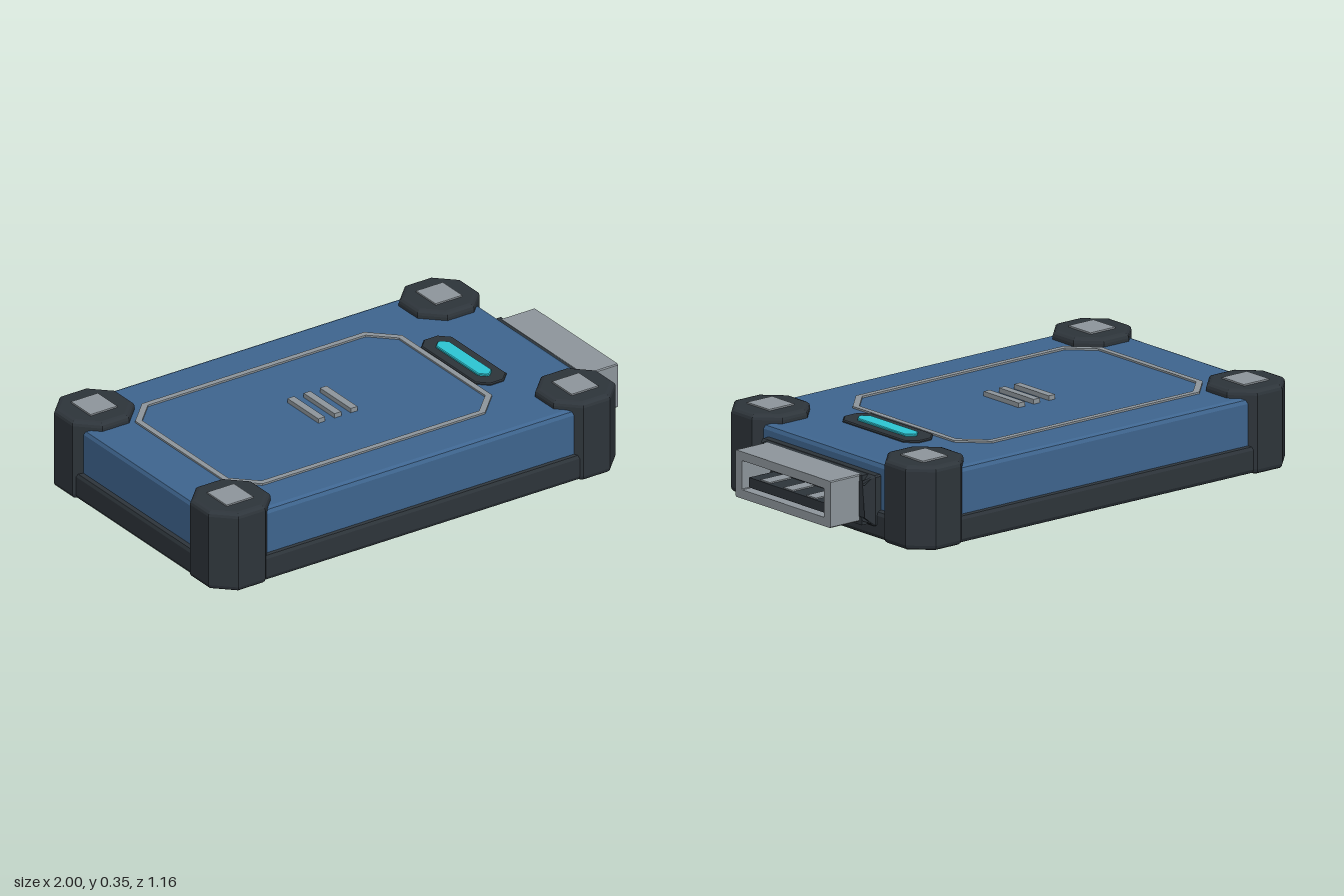
import * as THREE from 'three';

const mat = (color) => new THREE.MeshStandardMaterial({ color, flatShading: true });

// Rectangle with cut corners, centred on (cx, cy)
function cutRect(Target, w, h, cut, cx = 0, cy = 0) {
  const a = w / 2, b = h / 2;
  const pts = [
    [a, -b + cut], [a, b - cut], [a - cut, b], [-a + cut, b],
    [-a, b - cut], [-a, -b + cut], [-a + cut, -b], [a - cut, -b],
  ];
  return new Target(pts.map(([x, y]) => new THREE.Vector2(cx + x, cy + y)));
}

// Horizontal slab between heights y0 and y1 with bevelled edges
function slab(shape, y0, y1, bevel = 0, segments = 1) {
  const geo = new THREE.ExtrudeGeometry(shape, {
    depth: y1 - y0 - 2 * bevel, bevelEnabled: bevel > 0, bevelThickness: bevel,
    bevelSize: bevel, bevelOffset: -bevel, bevelSegments: segments,
  });
  return geo.rotateX(-Math.PI / 2).translate(0, y0 + bevel, 0);
}

// Box given by its limits
function box(x0, x1, y0, y1, z0, z1) {
  return new THREE.BoxGeometry(x1 - x0, y1 - y0, z1 - z0)
    .translate((x0 + x1) / 2, (y0 + y1) / 2, (z0 + z1) / 2);
}

// Plate facing +x: shape drawn as (z, y), from x0 to x1
function sidePlate(shape, x0, x1, bevel = 0) {
  const geo = new THREE.ExtrudeGeometry(shape, {
    depth: x1 - x0 - 2 * bevel, bevelEnabled: bevel > 0, bevelThickness: bevel,
    bevelSize: bevel, bevelOffset: -bevel, bevelSegments: 1,
  });
  return geo.rotateY(Math.PI / 2).translate(x0 + bevel, 0, 0);
}

export function createModel() {
  const group = new THREE.Group();
  const blue = mat(0x3f6690), dark = mat(0x2e353b), metal = mat(0x8f979d);
  const cyan = mat(0x2cc8d6), black = mat(0x1c2024);
  const add = (name, geo, material) => {
    const mesh = new THREE.Mesh(geo, material);
    mesh.name = name;
    group.add(mesh);
  };
  const S = THREE.Shape;
  const cx = -0.085; // middle of the casing along x

  // Casing and lower bumper frame
  add('casing', slab(cutRect(S, 1.77, 1.11, 0.08, cx), 0.05, 0.31, 0.02, 2), blue);
  add('bumperFrame', slab(cutRect(S, 1.81, 1.14, 0.1, cx), 0.02, 0.13, 0.018, 2), dark);

  // Corner posts with square caps
  for (const x of [-0.86, 0.69]) {
    for (const z of [-0.44, 0.44]) {
      add('cornerPost', slab(cutRect(S, 0.28, 0.28, 0.08, x, -z), 0.018, 0.342, 0.02, 3), dark);
      add('postCap', box(x - 0.06, x + 0.06, 0.33, 0.348, z - 0.063, z + 0.063), metal);
    }
  }

  // Raised outline on the top
  const outline = cutRect(S, 1.2, 0.78, 0.1, -0.18);
  outline.holes.push(cutRect(THREE.Path, 1.154, 0.734, 0.088, -0.18));
  add('topOutline', slab(outline, 0.3, 0.317), metal);

  // Three grip bars
  for (const x of [-0.213, -0.14, -0.067]) {
    add('gripBar', box(x - 0.015, x + 0.015, 0.3, 0.328, -0.1, 0.1), metal);
  }

  // Status light in its bezel
  add('lightBezel', slab(cutRect(S, 0.14, 0.43, 0.04, 0.495), 0.3, 0.318, 0.004), dark);
  add('statusLight', slab(cutRect(S, 0.062, 0.32, 0.024, 0.495), 0.305, 0.326, 0.003), cyan);

  // Bottom panel and feet strips
  add('bottomPanel', slab(cutRect(S, 1.29, 0.78, 0.1, -0.083), 0.009, 0.04), blue);
  for (const z of [-0.253, 0.253]) {
    add('footStrip', box(-0.56, 0.39, 0, 0.02, z - 0.031, z + 0.031), black);
  }

  // Connector collar
  add('connectorCollar', sidePlate(cutRect(S, 0.65, 0.195, 0.006, 0, 0.168), 0.76, 0.862, 0.035), dark);
  add('collarPlate', box(0.8, 0.86, 0.073, 0.264, -0.285, 0.285), dark);

  // Hollow metal connector shell
  const shell = cutRect(S, 0.544, 0.18, 0.004, 0, 0.175);
  shell.holes.push(cutRect(THREE.Path, 0.47, 0.112, 0.003, 0, 0.175));
  add('connectorShell', sidePlate(shell, 0.85, 1), metal);

  // Tongue and contacts inside the shell
  add('connectorTongue', box(0.85, 0.98, 0.128, 0.166, -0.218, 0.218), dark);
  for (const z of [-0.132, 0, 0.132]) {
    add('contact', box(0.87, 0.975, 0.16, 0.171, z - 0.026, z + 0.026), metal);
  }
  return group;
}
